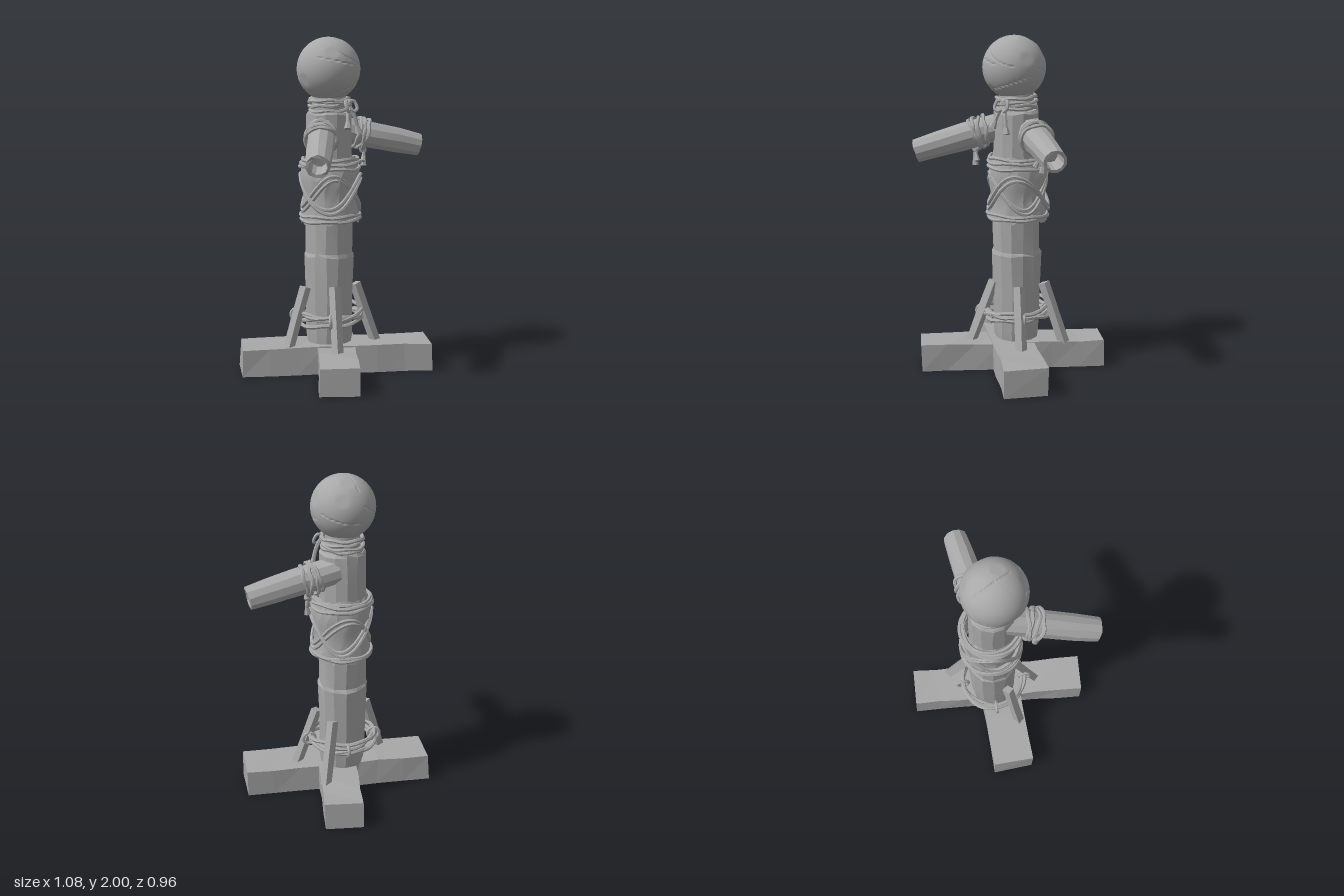
import * as THREE from 'three';
import { toCreasedNormals } from 'three/addons/utils/BufferGeometryUtils.js';

const V = (x, y, z) => new THREE.Vector3(x, y, z);
const UP = V(0, 1, 0);
const wood = new THREE.MeshStandardMaterial({ color: 0xa8a8a8 });
wood.name = 'grey wood';
const cloth = wood.clone();
cloth.name = 'grey cloth';
cloth.side = THREE.DoubleSide;

// Repeatable noise in -1..1 that depends only on position, so seams stay closed
function noise(p, seed) {
  const k = (n) => Math.round(n * 500) + 0;
  const s = Math.sin(k(p.x) * 12.99 + k(p.y) * 78.23 + k(p.z) * 37.72 + seed * 9.1) * 43758.5453;
  return (s - Math.floor(s)) * 2 - 1;
}

function reshape(geometry, rule) {
  const pos = geometry.attributes.position;
  const p = V(0, 0, 0);
  for (let i = 0; i < pos.count; i++) {
    rule(p.fromBufferAttribute(pos, i));
    pos.setXYZ(i, p.x, p.y, p.z);
  }
  return geometry;
}

// Rough hand-cut look
function roughen(geometry, amount, amountY = amount) {
  return reshape(geometry, (p) => {
    const q = p.clone();
    p.x += noise(q, 1) * amount;
    p.y += noise(q, 2) * amountY;
    p.z += noise(q, 3) * amount;
  });
}

function add(parent, name, geometry, crease = 0.5, material = wood) {
  const mesh = new THREE.Mesh(toCreasedNormals(geometry, crease), material);
  mesh.name = name;
  parent.add(mesh);
  return mesh;
}

function lathe(profile, sides) {
  return new THREE.LatheGeometry(profile.map(([r, y]) => new THREE.Vector2(r, y)), sides);
}

// Closed rope loop around the y axis; height and radius wave as it goes round
function loop(parent, name, { r, y, amp = 0, freq = 1, phase = 0, wob = 0.004, t = 0.011 }) {
  const pts = [];
  for (let i = 0; i < 24; i++) {
    const a = (i / 24) * Math.PI * 2;
    const rr = r + Math.sin(a * 3 + phase * 2) * wob;
    const h = y + amp * Math.sin(a * freq + phase) + Math.sin(a * 5 + phase) * wob;
    pts.push(V(Math.sin(a) * rr, h, Math.cos(a) * rr));
  }
  const path = new THREE.CatmullRomCurve3(pts, true);
  return add(parent, name, new THREE.TubeGeometry(path, 64, t, 6, true), 0.9);
}

// Loose rope end with a flared tip
function tail(parent, name, points, t = 0.011) {
  const path = new THREE.CatmullRomCurve3(points);
  add(parent, name, new THREE.TubeGeometry(path, 12, t, 6, false), 0.9);
  const end = path.getPoint(1);
  const tip = add(parent, name + 'Tip', new THREE.CylinderGeometry(t * 0.9, t * 1.9, 0.05, 6));
  tip.position.copy(end);
  tip.quaternion.setFromUnitVectors(UP, path.getTangent(1).negate());
}

function knot(parent, name, at, size) {
  const k = add(parent, name, roughen(new THREE.IcosahedronGeometry(size, 1), size * 0.12), 0.6);
  k.position.copy(at);
}

// Square bar between two points
function bar(parent, name, a, b, w, d) {
  const dir = b.clone().sub(a);
  const m = add(parent, name, roughen(new THREE.BoxGeometry(w, dir.length(), d, 1, 2, 1), 0.003), 0.2);
  m.position.copy(a).add(b).multiplyScalar(0.5);
  m.quaternion.setFromUnitVectors(UP, dir.normalize());
}

function arm(parent, name, from, to) {
  const g = new THREE.Group();
  g.name = name;
  const dir = to.clone().sub(from);
  const L = dir.length();
  g.position.copy(from);
  g.quaternion.setFromUnitVectors(UP, dir.normalize());
  // hollow tube end
  const profile = [[0, 0], [0.08, 0], [0.08, L * 0.45], [0.077, L * 0.75], [0.069, L],
    [0.051, L], [0.045, L - 0.1], [0, L - 0.1]];
  add(g, name + 'Log', roughen(lathe(profile, 11), 0.003), 0.35);
  [0.13, 0.155, 0.175, 0.2].forEach((y, i) =>
    loop(g, name + 'Rope', { r: 0.09, y, amp: 0.014 * (i % 2 ? 1 : -1), phase: i * 1.7 }));
  parent.add(g);
  // hanging knot under the shoulder
  const s = Math.sign(to.x);
  const c = from.clone().addScaledVector(dir, 0.18);
  const k = V(c.x + s * 0.025, c.y - 0.1, c.z - 0.02);
  knot(parent, name + 'Knot', k, 0.024);
  tail(parent, name + 'RopeEnd', [k, V(k.x + s * 0.012, k.y - 0.04, k.z), V(k.x + s * 0.008, k.y - 0.075, k.z)]);
  tail(parent, name + 'RopeEnd', [k, V(k.x - s * 0.012, k.y - 0.025, k.z + 0.015), V(k.x - s * 0.02, k.y - 0.045, k.z + 0.02)], 0.009);
}

function headGeometry() {
  const R = 0.187;
  // flattened patches, and grooves: plane normal, offset, centre of the groove
  const flats = [[1, 0.4, 0.5], [-0.6, 0.6, 0.7], [0.3, 0.9, -0.4], [-0.9, -0.3, -0.2],
    [0.5, -0.4, -0.9], [-0.3, -0.7, 0.7], [0.8, 0.5, -0.6], [0.1, 1, 0.3]].map((f) => V(...f).normalize());
  const grooves = [
    [V(0.2, 1, 0.1), 0.25, V(-0.5, 0.3, 0.8)], [V(-0.3, 1, 0.2), -0.4, V(0.5, -0.5, 0.7)],
    [V(0.4, 0.9, 0.3), 0.55, V(0.3, 0.7, 0.6)], [V(0.1, 1, -0.4), 0.1, V(0.7, 0.1, -0.6)],
    [V(-0.5, 0.8, -0.2), 0.3, V(-0.5, 0.3, -0.8)], [V(1, 0.2, 0.3), 0.1, V(0, 1, -0.2)]];
  grooves.forEach((g) => { g[0].normalize(); g[2].normalize(); });
  return reshape(new THREE.SphereGeometry(R, 80, 56), (p) => {
    const n = p.clone().normalize();
    for (const f of flats) {
      const over = p.dot(f) - R * 0.975;
      if (over > 0) p.addScaledVector(f, -over);
    }
    for (const [axis, offset, centre] of grooves) {
      const away = Math.abs(n.dot(axis) - offset);
      if (away < 0.03 && n.dot(centre) > 0.75) p.multiplyScalar(1 - 0.03 * (1 - away / 0.03));
    }
  });
}

export function createModel() {
  const model = new THREE.Group();
  model.name = 'trainingDummy';

  // Crossed base beams
  [[V(-0.43, 0, -0.38), V(0.42, 0, 0.383), 0.25, 0.168], [V(-0.4, 0, 0.38), V(0.405, 0, -0.388), 0.225, 0.165]]
    .forEach(([a, b, w, h]) => {
      const d = b.clone().sub(a);
      const geo = new THREE.BoxGeometry(d.length(), h, w, 7, 1, 1);
      reshape(geo, (p) => {
        const q = p.clone();
        p.z += noise(q, 4) * 0.006;
        p.y += p.y > 0 ? noise(q, 5) * 0.005 : 0;
        p.x += noise(q, 6) * 0.008;
      });
      const m = add(model, 'baseBeam', geo, 0.03);
      m.position.set((a.x + b.x) / 2, h / 2, (a.z + b.z) / 2);
      m.rotation.y = -Math.atan2(d.z, d.x);
    });

  // Everything wound round the post shares its axis
  const body = new THREE.Group();
  body.name = 'body';
  body.position.set(0, 0, -0.052);
  model.add(body);
  const post = lathe([[0, 0.11], [0.125, 0.11], [0.14, 0.22], [0.143, 0.45], [0.15, 0.7], [0.142, 0.72],
    [0.144, 0.95], [0.138, 1.25], [0.136, 1.42], [0.135, 1.55], [0.125, 1.565], [0, 1.565]], 13);
  add(body, 'post', roughen(post, 0.005, 0.006), 0.25);
  add(body, 'neck', lathe([[0.1, 1.54], [0.105, 1.6], [0.1, 1.68]], 14));
  add(body, 'head', headGeometry(), 0.25).position.set(-0.012, 1.813, 0.007);

  // Ragged cloth wrap
  const wrap = new THREE.CylinderGeometry(1, 1, 1, 36, 6, true);
  reshape(wrap, (p) => {
    const v = p.y + 0.5;
    const n = noise(p, 7);
    const r = 0.168 + 0.008 * Math.cos(v * 9) + n * 0.004 - (v > 0.95 ? 0.012 : 0);
    const edge = v < 0.05 ? 0.02 : v > 0.95 ? 0.014 : 0.003;
    p.set(p.x * r, 0.91 + v * 0.38 + n * edge, p.z * r);
  });
  const wrapMesh = add(body, 'clothWrap', wrap, 0.4, cloth);
  wrapMesh.position.x = 0.01;

  // Ropes over the cloth
  const bind = new THREE.Group();
  bind.name = 'clothRopes';
  bind.position.x = 0.01;
  body.add(bind);
  [0.925, 0.945, 1.235, 1.262, 1.28].forEach((y, i) =>
    loop(bind, 'clothBand', { r: i > 3 ? 0.165 : 0.178, y, amp: 0.006, phase: i * 2.1 }));
  for (const s of [-1, 1]) {
    for (const dy of [-0.013, 0.013]) {
      loop(bind, 'crossRope', { r: 0.176 + s * 0.004, y: 1.08 + dy, amp: 0.1 * s, freq: 2, phase: 0.25 * s + dy * 6 });
    }
  }

  // Neck rope with a bow at the front
  [1.575, 1.598, 1.62, 1.638].forEach((y, i) =>
    loop(body, 'neckRope', { r: 0.116, y, amp: 0.006, phase: i * 1.9 }));
  const bow = V(0.015, 1.615, 0.08);
  knot(model, 'neckKnot', bow, 0.026);
  for (const s of [-1, 1]) {
    tail(model, 'neckRopeEnd', [bow, V(bow.x + s * 0.025, 1.555, 0.105), V(bow.x + s * 0.045, 1.48 - s * 0.015, 0.12)], 0.012);
    const pts = [bow, V(bow.x + s * 0.035, 1.63, 0.095), V(bow.x + s * 0.045, 1.585, 0.115), V(bow.x + s * 0.02, 1.57, 0.11)];
    add(model, 'bowLoop', new THREE.TubeGeometry(new THREE.CatmullRomCurve3(pts, true), 24, 0.01, 6, true), 0.9);
  }

  // Arms
  arm(model, 'rightArm', V(-0.07, 1.47, -0.04), V(-0.49, 1.31, 0.3));
  arm(model, 'leftArm', V(0.07, 1.46, -0.07), V(0.5, 1.345, 0.235));

  // Slanted braces between the beams and the post
  [[V(-0.28, 0.15, -0.13), V(-0.16, 0.52, -0.1)], [V(0.29, 0.15, -0.155), V(0.165, 0.52, -0.11)],
    [V(-0.175, 0.15, 0.17), V(-0.08, 0.525, 0.065)], [V(0.2, 0.15, 0.15), V(0.11, 0.52, 0.06)]]
    .forEach(([a, b]) => bar(model, 'brace', a, b, 0.05, 0.045));

  // Ropes tying the braces
  [0.305, 0.325, 0.345, 0.36].forEach((y, i) =>
    loop(body, 'braceRope', { r: 0.192 + (i % 2) * 0.008, y, amp: 0.012, phase: i * 1.8, wob: 0.007, t: 0.012 }));
  for (const [x, z] of [[-0.15, 0.09], [0.16, 0.08], [0.13, -0.2], [-0.14, -0.19]]) {
    const lash = add(model, 'braceLashing', new THREE.TorusGeometry(0.036, 0.011, 6, 14), 0.9);
    lash.position.set(x, 0.33, z);
    lash.rotation.y = Math.atan2(x, z + 0.05) + Math.PI / 2;
  }
  return model;
}
